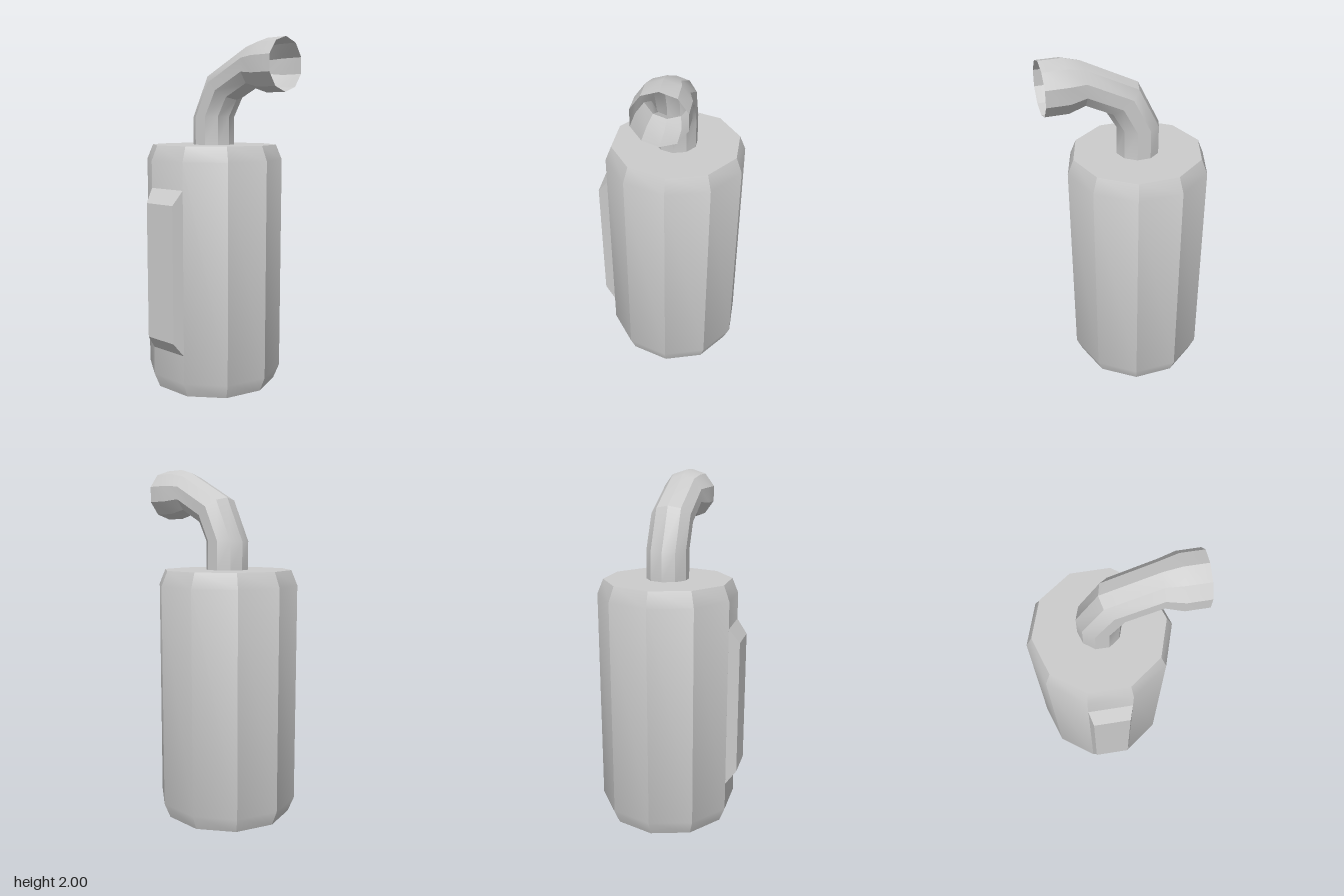
import * as THREE from 'three';
import { toCreasedNormals } from 'three/addons/utils/BufferGeometryUtils.js';

const SIDES = 10, CREASE = 0.55;
const AXIS_X = -0.06, AXIS_Z = -0.03;

function addPart(group, name, geometry, side = THREE.FrontSide) {
  const material = new THREE.MeshStandardMaterial({ color: 0xcccccc, side });
  const mesh = new THREE.Mesh(toCreasedNormals(geometry, CREASE), material);
  mesh.name = name;
  group.add(mesh);
  return mesh;
}

// Ten-sided canister with chamfered rims, a corner pointing along x
function canisterGeometry() {
  const profile = [[0, 0], [0.365, 0], [0.4, 0.085], [0.4, 1.335], [0.365, 1.42], [0, 1.42]]
    .map(([r, y]) => new THREE.Vector2(r, y));
  return new THREE.LatheGeometry(profile, SIDES, Math.PI / 2).translate(AXIS_X, 0, AXIS_Z);
}

// Raised panel: a box whose front face is smaller than its back
function panelGeometry() {
  const geometry = new THREE.BoxGeometry(2, 2, 1);
  const p = geometry.attributes.position;
  for (let i = 0; i < p.count; i++) {
    const front = p.getZ(i) > 0;
    p.setXYZ(i,
      AXIS_X + p.getX(i) * (front ? 0.103 : 0.1235),
      0.715 + p.getY(i) * (front ? 0.387 : 0.467),
      front ? 0.41 : 0.35);
  }
  return geometry;
}

// Open bent pipe lofted through rings: outer xy, inner xy, half width in z
function pipeGeometry() {
  const rings = [
    [-0.18, 1.42, 0.06, 1.42, 0.12],
    [-0.18, 1.58, 0.06, 1.58, 0.12],
    [-0.06, 1.823, 0.115, 1.675, 0.12],
    [0.243, 1.975, 0.243, 1.738, 0.12],
    [0.335, 2.0, 0.335, 1.71, 0.146],
    [0.46, 2.0, 0.46, 1.71, 0.146],
  ];
  const positions = [], index = [];
  rings.forEach(([ox, oy, ix, iy, halfZ], i) => {
    for (let k = 0; k < SIDES; k++) {
      const a = (k / SIDES) * Math.PI * 2;
      const t = (1 - Math.cos(a)) / 2;
      positions.push(ox + (ix - ox) * t, oy + (iy - oy) * t, AXIS_Z + halfZ * Math.sin(a));
      if (i === rings.length - 1) continue;
      const n = (k + 1) % SIDES, lo = i * SIDES, hi = lo + SIDES;
      index.push(lo + k, lo + n, hi + n, lo + k, hi + n, hi + k);
    }
  });
  const geometry = new THREE.BufferGeometry();
  geometry.setAttribute('position', new THREE.Float32BufferAttribute(positions, 3));
  geometry.setIndex(index);
  return geometry;
}

export function createModel() {
  const model = new THREE.Group();
  model.name = 'canisterWithPipe';
  addPart(model, 'canister', canisterGeometry());
  addPart(model, 'frontPanel', panelGeometry());
  addPart(model, 'bentPipe', pipeGeometry(), THREE.DoubleSide);
  return model;
}
